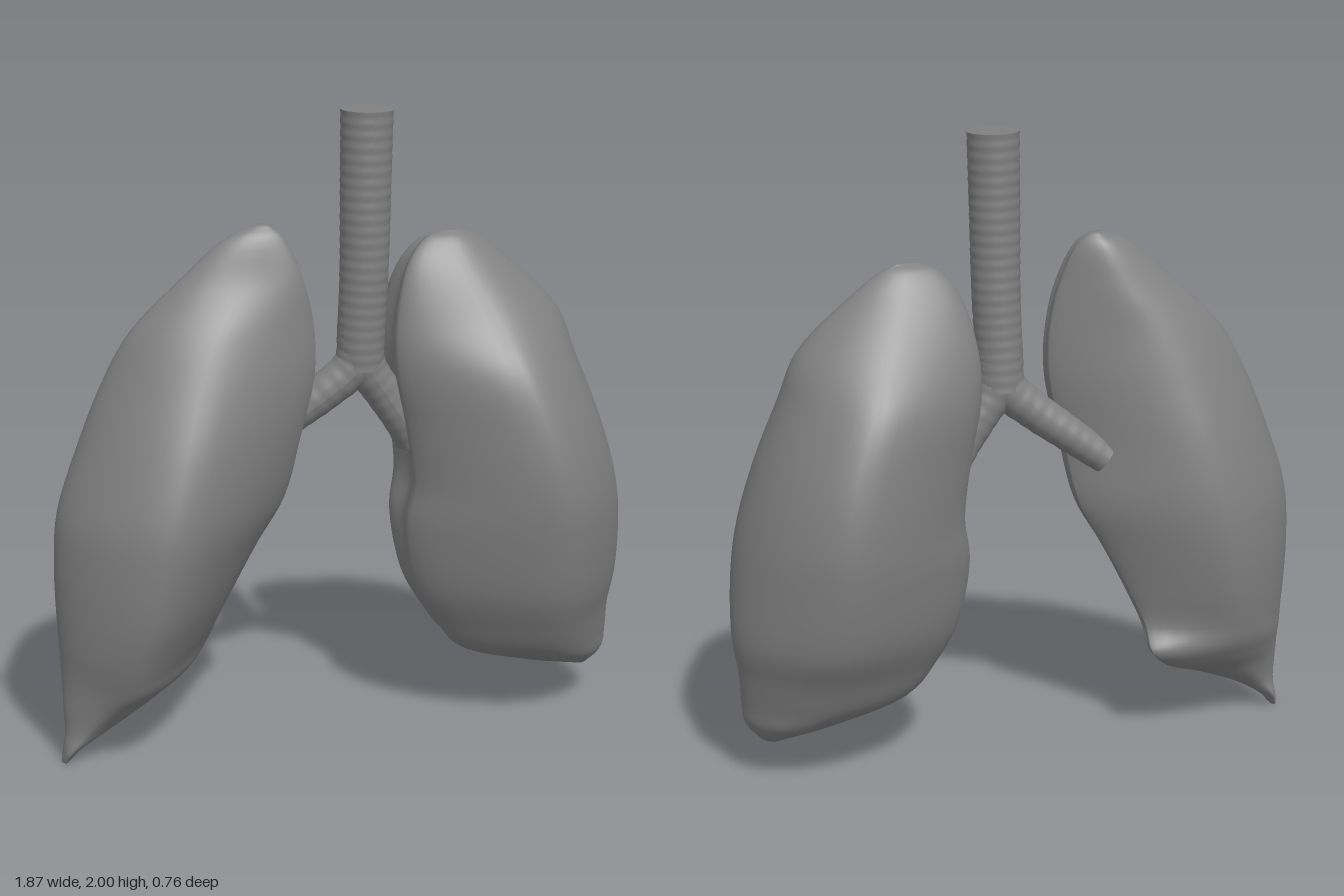
import * as THREE from 'three';

const material = new THREE.MeshStandardMaterial({ color: 0x808080 });
const V = (x, y, z) => new THREE.Vector3(x, y, z);

// Cross-sections from apex to base:
// [y, xMedial, xLateral, zMedial, medial half thickness, zLateral, xBulge, zFront, zBack]
const LEFT = [
  [1.61, 0.32, 0.38, 0.01, 0.005, 0.0, 0.35, 0.02, 0.0],
  [1.59, 0.26, 0.43, 0.01, 0.02, 0.0, 0.35, 0.05, -0.03],
  [1.52, 0.2, 0.525, 0.01, 0.05, 0.0, 0.37, 0.1, -0.08],
  [1.35, 0.155, 0.70, 0.0, 0.1, 0.0, 0.45, 0.2, -0.2],
  [1.2, 0.15, 0.76, 0.0, 0.12, 0.0, 0.5, 0.3, -0.3],
  [1.0, 0.187, 0.84, 0.0, 0.13, 0.0, 0.57, 0.36, -0.36],
  [0.82, 0.207, 0.895, 0.0, 0.13, 0.0, 0.6, 0.38, -0.38],
  [0.68, 0.187, 0.92, 0.0, 0.11, -0.01, 0.61, 0.37, -0.37],
  [0.47, 0.225, 0.93, 0.0, 0.1, -0.05, 0.62, 0.325, -0.325],
  [0.35, 0.29, 0.912, 0.0, 0.09, -0.05, 0.63, 0.27, -0.26],
  [0.25, 0.37, 0.905, 0.0, 0.08, -0.03, 0.65, 0.21, -0.21],
  [0.18, 0.56, 0.895, -0.01, 0.06, -0.02, 0.74, 0.13, -0.15],
  [0.125, 0.76, 0.85, -0.02, 0.02, -0.02, 0.81, 0.03, -0.07],
];
const RIGHT = [
  [1.665, -0.25, -0.29, 0.05, 0.01, 0.05, -0.27, 0.06, 0.03],
  [1.63, -0.21, -0.38, 0.06, 0.02, 0.05, -0.28, 0.09, 0.0],
  [1.5, -0.155, -0.53, 0.08, 0.03, 0.04, -0.33, 0.13, -0.04],
  [1.35, -0.122, -0.68, 0.08, 0.03, 0.03, -0.42, 0.2, -0.08],
  [1.2, -0.122, -0.765, 0.08, 0.035, 0.02, -0.48, 0.26, -0.12],
  [1.0, -0.165, -0.85, 0.07, 0.035, 0.03, -0.54, 0.33, -0.17],
  [0.8, -0.207, -0.92, 0.03, 0.035, 0.05, -0.59, 0.37, -0.2],
  [0.65, -0.29, -0.935, 0.01, 0.035, 0.06, -0.62, 0.365, -0.2],
  [0.5, -0.365, -0.935, -0.01, 0.035, 0.07, -0.65, 0.34, -0.18],
  [0.38, -0.415, -0.93, -0.04, 0.03, 0.08, -0.68, 0.3, -0.15],
  [0.31, -0.42, -0.927, -0.1, 0.02, 0.08, -0.69, 0.27, -0.13],
  [0.25, -0.48, -0.925, -0.06, 0.03, 0.085, -0.7, 0.24, -0.09],
  [0.18, -0.63, -0.925, 0.03, 0.04, 0.09, -0.78, 0.19, -0.02],
  [0.1, -0.79, -0.922, 0.085, 0.03, 0.09, -0.86, 0.15, 0.03],
  [0.04, -0.88, -0.93, 0.09, 0.02, 0.09, -0.91, 0.135, 0.045],
  [0.0, -0.915, -0.935, 0.09, 0.01, 0.09, -0.925, 0.11, 0.07],
];

// Smooth closed loft through the sections, rounded both around and down the lung
function lung(name, rows, side, hollow) {
  const around = 56, down = 80;
  const rings = rows.map(([y, xm, xl, zm, t, zl, xb, zf, zb]) => {
    const shoulder = (z) => V(xb + 0.7 * (xl - xb), y, zl + 0.62 * (z - zl));
    return new THREE.CatmullRomCurve3([
      V(xl, y, zl), shoulder(zf), V(xb, y, zf), V(xm, y, zm + t),
      V(xm + (xl - xm) * hollow, y, zm), V(xm, y, zm - t), V(xb, y, zb), shoulder(zb),
    ], true).getPoints(around);
  });
  const positions = [], index = [];
  const columns = Array.from({ length: around }, (_, j) =>
    new THREE.CatmullRomCurve3(rings.map((r) => r[j])));
  for (let i = 0; i <= down; i++)
    for (const c of columns) positions.push(...c.getPoint(i / down).toArray());

  const tri = (a, b, c) => (side > 0 ? index.push(a, b, c) : index.push(a, c, b));
  for (let i = 0; i < down; i++)
    for (let j = 0; j < around; j++) {
      const k = (j + 1) % around, a = i * around, b = a + around;
      tri(a + j, a + k, b + j);
      tri(a + k, b + k, b + j);
    }
  // Close apex and base with small fans
  [rings[0], rings[rings.length - 1]].forEach((ring, end) => {
    const mid = V(0, 0, 0);
    for (let j = 0; j < around; j++) mid.addScaledVector(ring[j], 1 / around);
    const centre = positions.length / 3, start = end * down * around;
    positions.push(...mid.toArray());
    for (let j = 0; j < around; j++) {
      const p = start + j, q = start + ((j + 1) % around);
      end ? tri(centre, p, q) : tri(centre, q, p);
    }
  });
  const g = new THREE.BufferGeometry();
  g.setAttribute('position', new THREE.Float32BufferAttribute(positions, 3));
  g.setIndex(index);
  g.computeVertexNormals();
  const mesh = new THREE.Mesh(g, material);
  mesh.name = name;
  return mesh;
}

// Airway tube with shallow cartilage rings, tapering from r0 to r1, capped ends
function airway(name, points, r0, r1, bands) {
  const group = new THREE.Group();
  group.name = name;
  const curve = new THREE.CatmullRomCurve3(points);
  const steps = bands * 6, sides = 24;
  const g = new THREE.TubeGeometry(curve, steps, 1, sides);
  const pos = g.attributes.position, p = V(0, 0, 0);
  for (let i = 0; i <= steps; i++) {
    const u = i / steps, centre = curve.getPointAt(u);
    const r = (r0 + (r1 - r0) * u) * (1 + 0.01 * Math.cos(u * bands * Math.PI * 2));
    for (let j = 0; j <= sides; j++) {
      const n = i * (sides + 1) + j;
      p.fromBufferAttribute(pos, n).sub(centre).multiplyScalar(r).add(centre);
      pos.setXYZ(n, p.x, p.y, p.z);
    }
  }
  g.computeVertexNormals();
  group.add(new THREE.Mesh(g, material));
  [[0, r0, -1], [1, r1, 1]].forEach(([u, r, s]) => {
    const cap = new THREE.Mesh(new THREE.CircleGeometry(r * 1.01, sides), material);
    cap.position.copy(curve.getPointAt(u));
    cap.quaternion.setFromUnitVectors(V(0, 0, 1), curve.getTangentAt(u).multiplyScalar(s));
    group.add(cap);
  });
  group.children.forEach((m, i) => { m.name = i ? name + 'End' : name + 'Wall'; });
  return group;
}

export function createModel() {
  const model = new THREE.Group();
  model.name = 'lungs';
  // The bronchi start inside the trachea so the fork blends without a step
  model.add(
    lung('leftLung', LEFT, 1, 0.03),
    lung('rightLung', RIGHT, -1, 0),
    airway('trachea', [V(0.07, 2, 0.025), V(0.066, 1.75, 0.025), V(0.063, 1.5, 0.022),
      V(0.056, 1.3, 0.015), V(0.055, 1.19, 0.01)], 0.081, 0.073, 22),
    airway('leftBronchus', [V(0.06, 1.32, 0.014), V(0.07, 1.2, 0.01), V(0.13, 1.1, 0.005),
      V(0.18, 1.02, 0), V(0.23, 0.93, -0.02)], 0.07, 0.05, 10),
    airway('rightBronchus', [V(0.052, 1.32, 0.014), V(0.035, 1.2, 0.01), V(-0.05, 1.12, 0),
      V(-0.15, 1.045, -0.015), V(-0.28, 0.95, -0.03)], 0.07, 0.05, 11),
  );
  return model;
}
